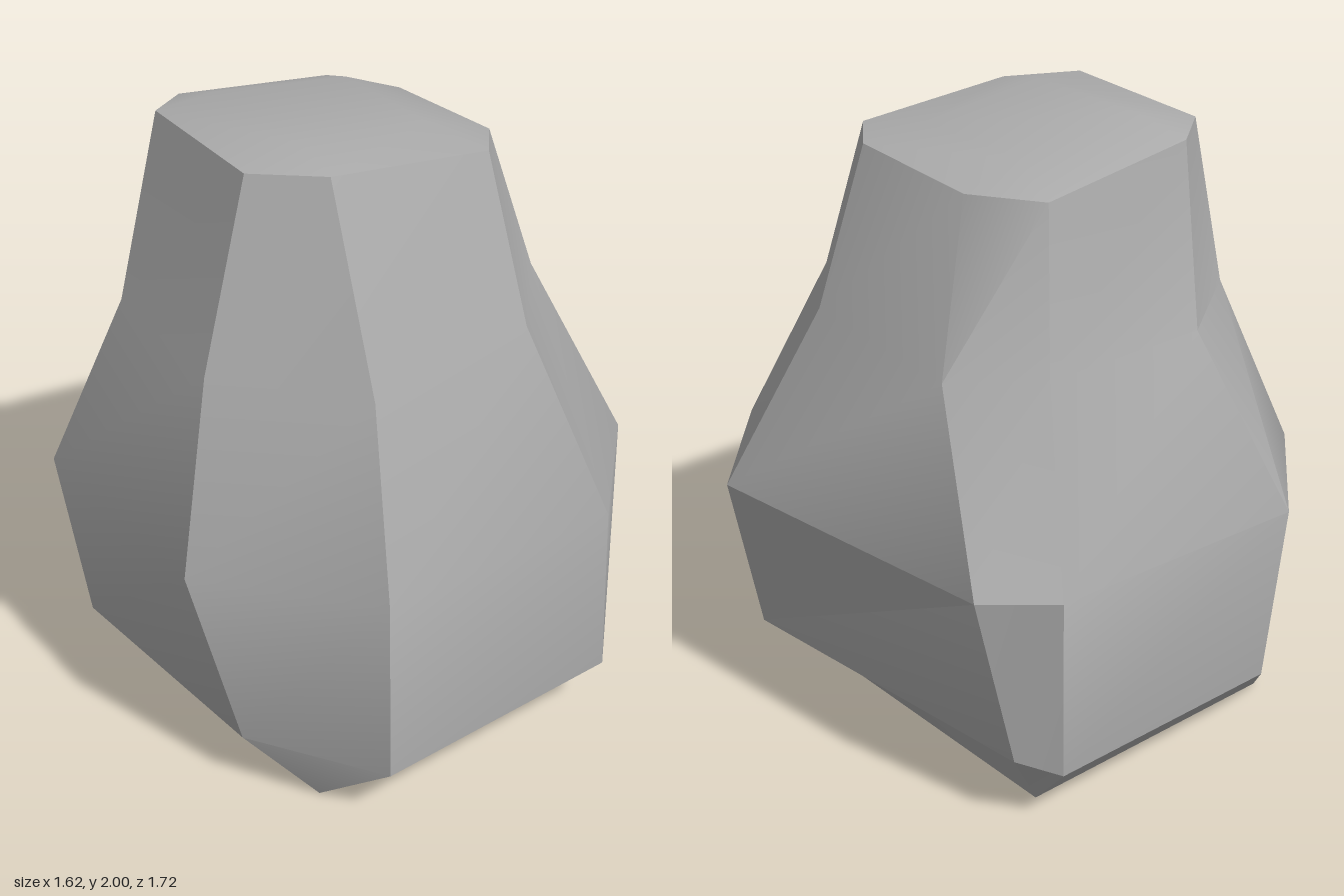
import * as THREE from 'three';
import { toCreasedNormals } from 'three/addons/utils/BufferGeometryUtils.js';

// Horizontal cross-sections, bottom to top: [x, y, z] corners in pairs
// (back right corner, back left, front left, front right).
const bottom = [[-0.54, 0, -0.64], [0.44, 0, -0.63], [0.41, 0, 0.61], [-0.51, 0, 0.61]];
const foot = [
  [-0.745, 0.2, -0.41], [-0.37, 0.2, -0.82], [0.5, 0.21, -0.82], [0.6, 0.25, -0.71],
  [0.64, 0.2, 0.515], [0.48, 0.2, 0.795], [-0.416, 0.2, 0.86], [-0.69, 0.2, 0.45],
];
const belly = [
  [-0.815, 0.79, -0.475], [-0.41, 0.8, -0.86], [0.527, 0.83, -0.84], [0.72, 0.83, -0.67],
  [0.81, 0.81, 0.43], [0.44, 0.81, 0.815], [-0.39, 0.79, 0.81], [-0.81, 0.79, 0.34],
];
const shoulder = [
  [-0.6, 1.37, -0.35], [-0.26, 1.37, -0.58], [0.335, 1.38, -0.565], [0.58, 1.38, -0.37],
  [0.555, 1.41, 0.245], [0.3, 1.4, 0.545], [-0.3, 1.36, 0.6], [-0.64, 1.37, 0.21],
];
const rim = [
  [-0.436, 1.96, -0.37], [-0.295, 1.945, -0.47], [0.25, 1.88, -0.46], [0.386, 1.88, -0.246],
  [0.386, 1.91, 0.22], [0.276, 1.92, 0.36], [-0.26, 1.96, 0.315], [-0.463, 1.97, 0.174],
];
const crown = [[-0.25, 1.995, -0.32], [0.2, 1.95, -0.28], [0.2, 1.955, 0.15], [-0.25, 2, 0.15]];

function rockGeometry() {
  const positions = [];
  // Skip triangles that collapse where a corner pair meets in one point
  const triangle = (a, b, c) => {
    if (a !== b && b !== c && c !== a) positions.push(...a, ...b, ...c);
  };
  const doubled = (quad) => quad.flatMap((p) => [p, p]);
  const rings = [doubled(bottom), foot, belly, shoulder, rim, doubled(crown)];

  // Sides and rounded top
  for (let r = 0; r < rings.length - 1; r++) {
    const low = rings[r], high = rings[r + 1];
    for (let i = 0; i < 8; i++) {
      const j = (i + 1) % 8;
      triangle(low[j], low[i], high[i]);
      triangle(low[j], high[i], high[j]);
    }
  }
  // Flat base and crown caps
  triangle(bottom[0], bottom[1], bottom[2]);
  triangle(bottom[0], bottom[2], bottom[3]);
  triangle(crown[2], crown[1], crown[0]);
  triangle(crown[3], crown[2], crown[0]);

  const geometry = new THREE.BufferGeometry();
  geometry.setAttribute('position', new THREE.Float32BufferAttribute(positions, 3));
  return toCreasedNormals(geometry, THREE.MathUtils.degToRad(32));
}

export function createModel() {
  const stone = new THREE.MeshStandardMaterial({ color: 0xaaaaaa });
  stone.name = 'stone grey';
  const rock = new THREE.Mesh(rockGeometry(), stone);
  rock.name = 'rock';
  const group = new THREE.Group();
  group.name = 'boulder';
  group.add(rock);
  return group;
}
